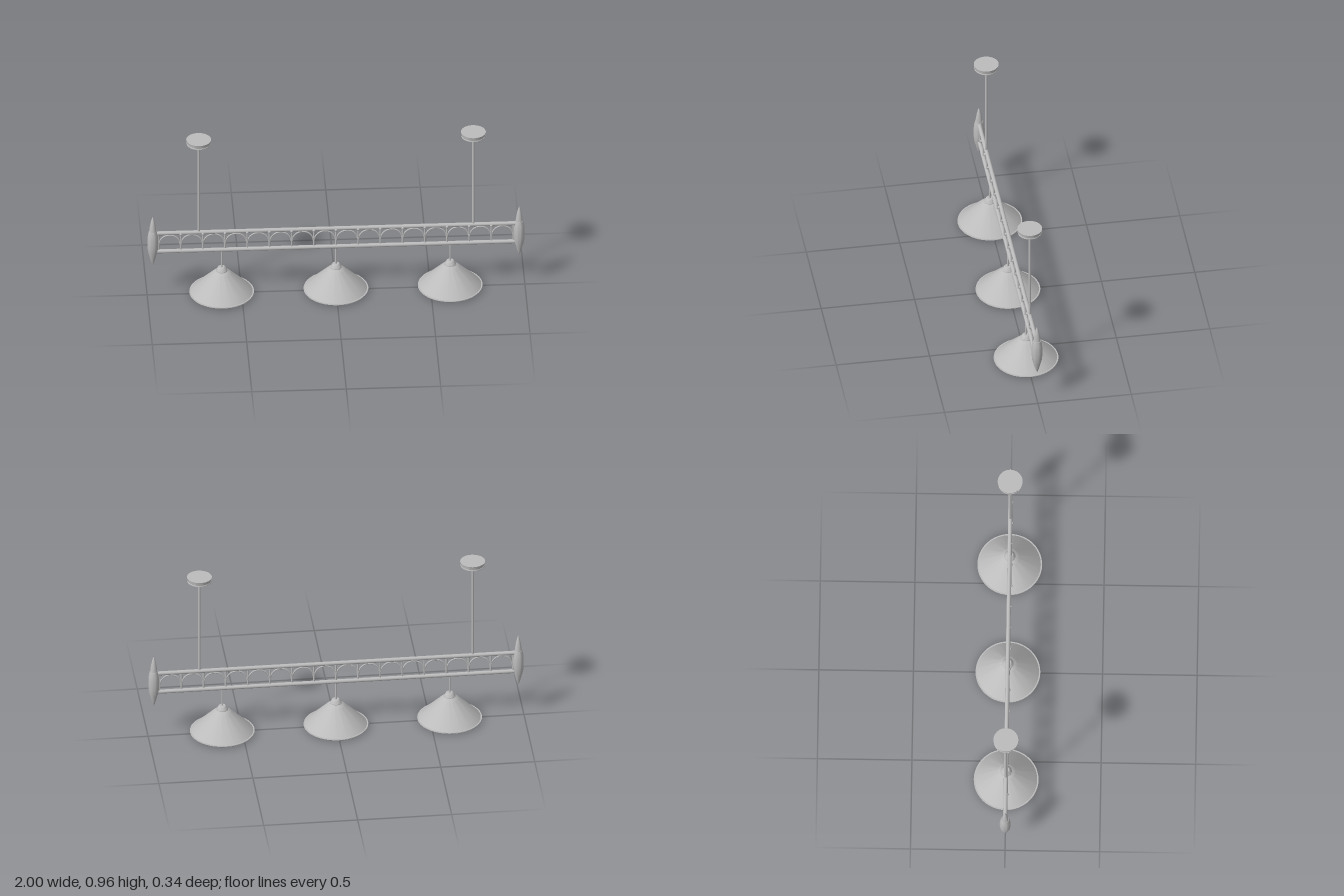
import * as THREE from 'three';
import { toCreasedNormals } from 'three/addons/utils/BufferGeometryUtils.js';

const metal = new THREE.MeshStandardMaterial({ color: 0xbcbcbc });
metal.name = 'grey metal';

function add(parent, name, geometry, x = 0, y = 0, z = 0) {
  const mesh = new THREE.Mesh(geometry, metal);
  mesh.name = name;
  mesh.position.set(x, y, z);
  parent.add(mesh);
  return mesh;
}

// Turned solid from [radius, height] points, bottom to top
function turned(points, sides = 40) {
  const lathe = new THREE.LatheGeometry(points.map(([r, y]) => new THREE.Vector2(r, y)), sides);
  return toCreasedNormals(lathe, 0.45);
}

function rod(parent, name, radius, y0, y1, x, z = 0) {
  return add(parent, name, new THREE.CylinderGeometry(radius, radius, y1 - y0, 12), x, (y0 + y1) / 2, z);
}

export function createModel() {
  const model = new THREE.Group();
  model.name = 'barLamp';

  // Two horizontal rails
  for (const [name, y] of [['topRail', 0.381], ['bottomRail', 0.269]]) {
    const rail = add(model, name, new THREE.CylinderGeometry(0.011, 0.011, 1.92, 16), 0, y);
    rail.rotation.z = Math.PI / 2;
  }

  // Arcade of posts and arches between the rails
  const bays = 16, pitch = 0.1175, springY = 0.311, archR = pitch / 2 - 0.003;
  const archPoints = [];
  for (let i = 0; i <= 12; i++) {
    const a = Math.PI * i / 12;
    archPoints.push(new THREE.Vector3(Math.cos(a) * archR, Math.sin(a) * archR, 0));
  }
  const arch = new THREE.TubeGeometry(new THREE.CatmullRomCurve3(archPoints), 24, 0.004, 8);
  const bead = new THREE.SphereGeometry(0.008, 12, 8);
  const arcade = new THREE.Group();
  arcade.name = 'arcade';
  model.add(arcade);
  for (let i = 0; i <= bays; i++) {
    const x = (i - bays / 2) * pitch;
    rod(arcade, 'post', 0.0045, 0.265, 0.378, x);
    if (i > 0 && i < bays) add(arcade, 'bead', bead, x, 0.376, 0.01);
    if (i < bays) add(arcade, 'arch', arch, x + pitch / 2, springY);
  }

  // Pointed three-piece finials at both ends
  const finialPieces = {
    finialTip: [[0, 0.394], [0.019, 0.395], [0.0165, 0.418], [0.012, 0.445], [0.006, 0.47], [0, 0.485]],
    finialBody: [[0, 0.25], [0.021, 0.25], [0.026, 0.272], [0.0285, 0.298], [0.029, 0.322],
      [0.0285, 0.347], [0.026, 0.373], [0.021, 0.395], [0, 0.395]],
    finialFoot: [[0, 0.185], [0.006, 0.198], [0.012, 0.217], [0.0165, 0.235], [0.02, 0.25], [0, 0.251]],
  };
  for (const side of [-1, 1]) {
    const finial = new THREE.Group();
    finial.name = side < 0 ? 'rightFinial' : 'leftFinial';
    finial.position.x = side * 0.97;
    model.add(finial);
    for (const [name, points] of Object.entries(finialPieces)) add(finial, name, turned(points, 24));
  }

  // Hanging rods with ceiling canopies
  const canopyCup = turned([[0, 0.905], [0.012, 0.906], [0.024, 0.91], [0.038, 0.917], [0.05, 0.926], [0.057, 0.933], [0, 0.934]]);
  const canopyRim = turned([[0, 0.931], [0.064, 0.931], [0.064, 0.935], [0.062, 0.937], [0.066, 0.957], [0, 0.957]]);
  for (const x of [-0.727, 0.727]) {
    rod(model, 'hangingRod', 0.0065, 0.385, 0.91, x);
    add(model, 'canopyCup', canopyCup, x);
    add(model, 'canopyRim', canopyRim, x);
  }

  // Three conical lamps closed below by a shallow lens
  const shade = turned([[0.165, 0.011], [0.05, 0.126], [0.043, 0.132], [0.03, 0.139], [0, 0.14]], 48);
  const rim = turned([[0.16, 0.005], [0.17, 0.005], [0.172, 0.008], [0.171, 0.012], [0.164, 0.012]], 48);
  const lens = turned([[0, 0], [0.085, 0.002], [0.162, 0.006]], 48);
  const socket = turned([[0, 0.138], [0.03, 0.138], [0.03, 0.142], [0.02, 0.161], [0.016, 0.164], [0, 0.164]], 24);
  for (const x of [-0.605, 0, 0.605]) {
    const lamp = new THREE.Group();
    lamp.name = 'lamp';
    lamp.position.x = x;
    model.add(lamp);
    add(lamp, 'shade', shade);
    add(lamp, 'shadeRim', rim);
    add(lamp, 'lens', lens);
    add(lamp, 'socket', socket);
    rod(lamp, 'lampStem', 0.005, 0.16, 0.265, 0);
  }
  return model;
}
